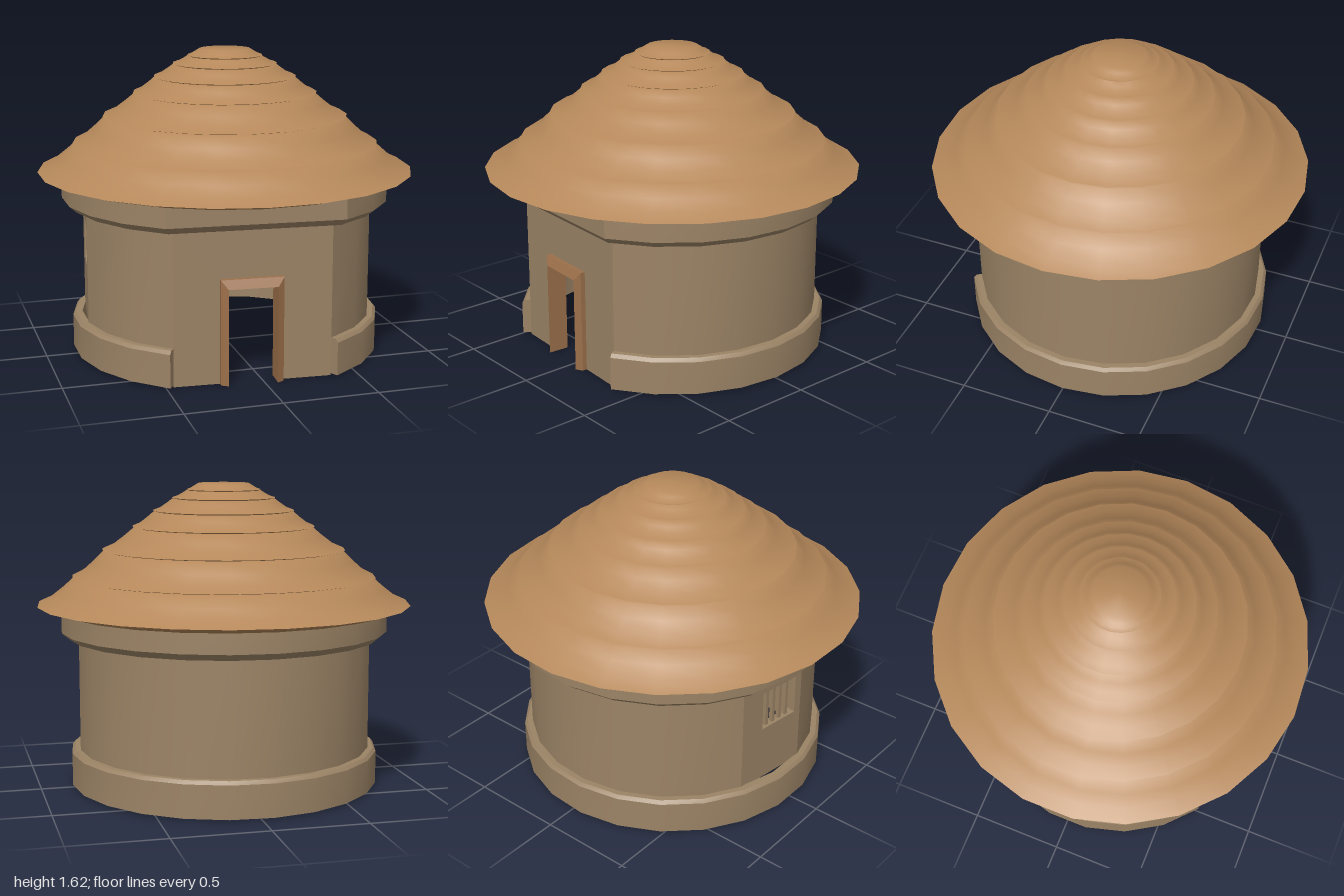
import * as THREE from 'three';
import { toCreasedNormals } from 'three/addons/utils/BufferGeometryUtils.js';

const SIDES = 23, STEP = (Math.PI * 2) / SIDES, WALL_R = 0.79, WALL_T = 0.05;
const mat = (color) => new THREE.MeshStandardMaterial({ color });
const wallMat = mat(0x9c8466), roofMat = mat(0xb5885a), woodMat = mat(0x9c704a);

// Joins equal cross-sections into a solid, with end caps unless it loops
function loft(sections, loop) {
  const n = sections[0].length, pos = [], idx = [];
  sections.forEach((s) => s.forEach((p) => pos.push(...p)));
  const spans = loop ? sections.length : sections.length - 1;
  for (let i = 0; i < spans; i++) {
    const s0 = i * n, s1 = ((i + 1) % sections.length) * n;
    for (let j = 0; j < n; j++) {
      const k = (j + 1) % n;
      idx.push(s0 + j, s0 + k, s1 + j, s0 + k, s1 + k, s1 + j);
    }
  }
  if (!loop) {
    const e = (sections.length - 1) * n;
    for (let j = 1; j < n - 1; j++) idx.push(0, j + 1, j, e, e + j, e + j + 1);
  }
  const g = new THREE.BufferGeometry();
  g.setAttribute('position', new THREE.Float32BufferAttribute(pos, 3));
  g.setIndex(idx);
  return toCreasedNormals(g, 0.4);
}

// Sweeps a (radius, height) profile around the numbered corners of the hut
function ring(profile, corners, loop = false) {
  return loft(corners.map((k) => profile.map(([r, y]) =>
    [r * Math.cos(k * STEP), y, r * Math.sin(k * STEP)])), loop);
}

const range = (a, b) => Array.from({ length: b - a + 1 }, (_, i) => a + i);

// Group lying on the straight wall between two corners, +z pointing outwards
function flatSide(name, k0, k1) {
  const g = new THREE.Group(), a = ((k0 + k1) / 2) * STEP;
  const d = WALL_R * Math.cos(((k1 - k0) / 2) * STEP);
  g.name = name;
  g.position.set(d * Math.cos(a), 0, d * Math.sin(a));
  g.rotation.y = Math.PI / 2 - a;
  g.userData.half = WALL_R * Math.sin(((k1 - k0) / 2) * STEP);
  return g;
}

const polygon = (pts) => pts.map(([x, y]) => new THREE.Vector2(x, y));

function panel(shape) {
  const g = new THREE.ExtrudeGeometry(shape, { depth: WALL_T, bevelEnabled: false });
  return g.translate(0, 0, -WALL_T);
}

export function createModel() {
  const model = new THREE.Group();
  model.name = 'roundHut';
  model.position.x = -0.005;
  const add = (parent, name, geometry, material) => {
    const m = new THREE.Mesh(geometry, material);
    m.name = name;
    parent.add(m);
    return m;
  };

  // Curved walls, interrupted by the door side and the window side
  const wallProfile = [[WALL_R - WALL_T, 0.19], [WALL_R, 0.19], [WALL_R, 0.82], [WALL_R - WALL_T, 0.82]];
  add(model, 'wallLeft', ring(wallProfile, range(13, 27)), wallMat);
  add(model, 'wallRight', ring(wallProfile, range(8, 11)), wallMat);

  // Plinth stops at the door side; the eave band runs all the way round
  add(model, 'plinth', ring([[0.785, 0.01], [0.835, 0.01], [0.835, 0.185], [0.82, 0.203], [0.785, 0.203]],
    range(8, 27)), wallMat);
  add(model, 'eaveBand', ring([[0.77, 0.805], [0.84, 0.805], [0.88, 0.84], [0.88, 0.96], [0.77, 0.96]],
    range(8, 27), true), wallMat);

  // Door side: flat wall with a doorway and a bevelled frame
  const door = flatSide('doorSide', 4, 8), dh = door.userData.half, cx = -0.01;
  add(door, 'doorWall', panel(new THREE.Shape(polygon([
    [-dh, 0], [cx - 0.14, 0], [cx - 0.14, 0.52], [cx + 0.14, 0.52], [cx + 0.14, 0],
    [dh, 0], [dh, 0.82], [-dh, 0.82]]))), wallMat);
  const frameProfile = [[0, -0.065], [0, 0.025], [0.035, 0.047], [0.035, -0.065]];
  const framePath = [[-1, 0], [-1, 1], [1, 1], [1, 0]];
  add(door, 'doorFrame', loft(framePath.map(([sx, up]) => frameProfile.map(([d, z]) =>
    [cx + sx * (0.163 - d), up * (0.55 - d * 1.3), z]))), woodMat);
  model.add(door);

  // Window side: flat wall with a barred opening
  const win = flatSide('windowSide', 11, 13), wh = win.userData.half;
  const wx = 0.05, hw = 0.12, y0 = 0.5, y1 = 0.72;
  const shape = new THREE.Shape(polygon([[-wh, 0.19], [wh, 0.19], [wh, 0.82], [-wh, 0.82]]));
  shape.holes.push(new THREE.Path(polygon([[wx - hw, y0], [wx - hw, y1], [wx + hw, y1], [wx + hw, y0]])));
  add(win, 'windowWall', panel(shape), wallMat);
  for (let i = 0; i < 4; i++) {
    const bar = add(win, 'windowBar', new THREE.BoxGeometry(0.02, y1 - y0, 0.02), wallMat);
    bar.position.set(wx + (i - 1.5) * 0.048, (y0 + y1) / 2, -WALL_T / 2);
  }
  model.add(win);

  // Thatched roof: sagging tiers, each overhanging the one below
  const lips = [[1.005, 0.98], [0.82, 1.125], [0.655, 1.27], [0.492, 1.392],
    [0.38, 1.477], [0.278, 1.545], [0.2, 1.588], [0.135, 1.622]];
  const profile = [[0, 0.92], [0.73, 0.925], [0.88, 0.945]];
  lips.forEach(([r, y], i) => {
    profile.push([r, y]);
    if (i === lips.length - 1) return;
    const [r2, y2] = lips[i + 1], last = i === lips.length - 2;
    const end = last ? r2 : r2 - 0.16 * (r - r2), dr = end - r, dy = y2 - y;
    profile.push([r + dr * 0.33, y + dy * 0.22], [r + dr * 0.62, y + dy * 0.56]);
    if (!last) profile.push([r + dr * 0.88, y + dy * 0.9], [end, y2 - 0.006]);
  });
  profile.push([0, 1.622]);
  add(model, 'thatchedRoof', toCreasedNormals(
    new THREE.LatheGeometry(polygon(profile), SIDES, Math.PI / 2), 0.7), roofMat);

  return model;
}
